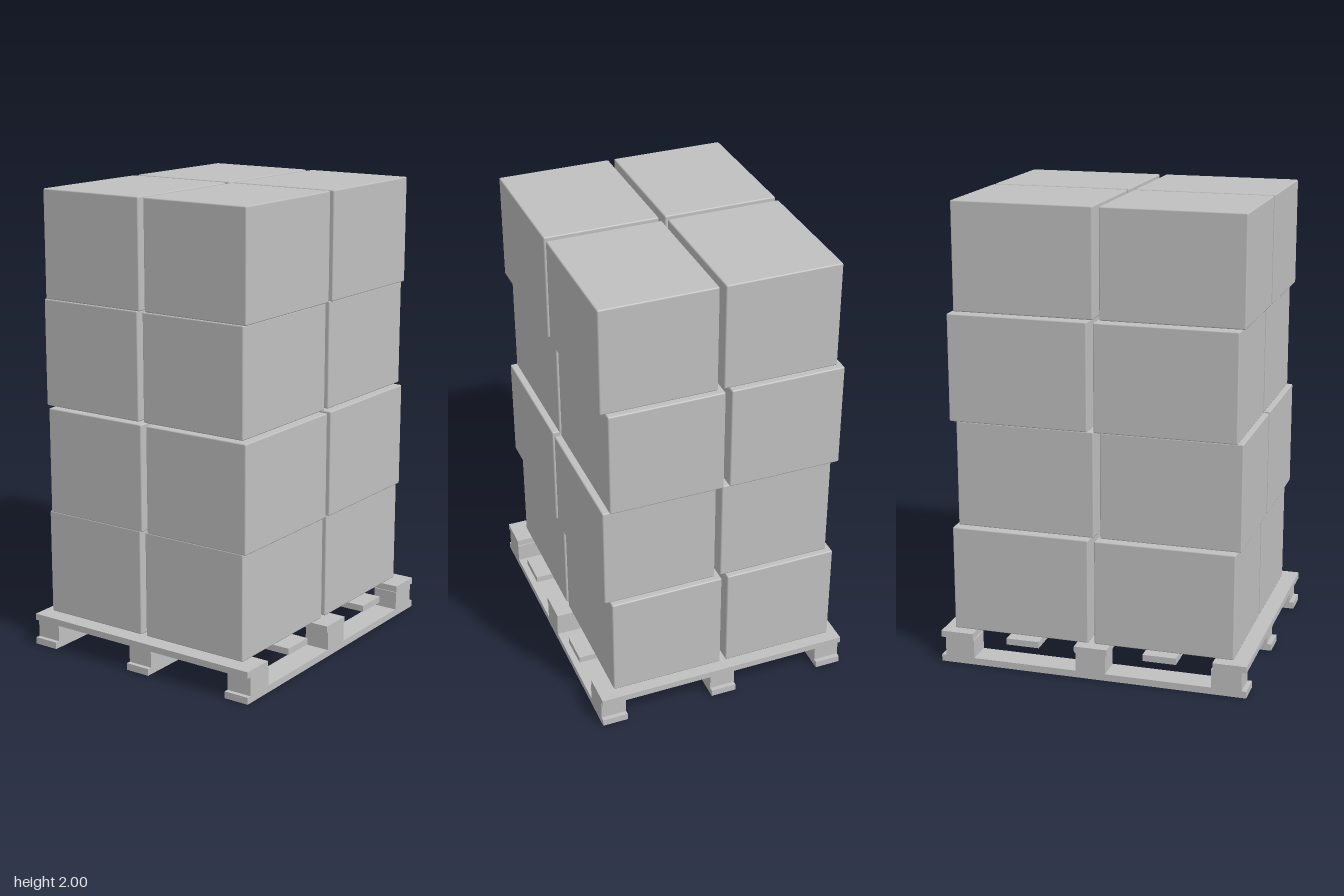
import * as THREE from 'three';
import { RoundedBoxGeometry } from 'three/addons/geometries/RoundedBoxGeometry.js';

export function createModel() {
  const model = new THREE.Group();
  model.name = 'loadedPallet';
  const grey = new THREE.MeshStandardMaterial({ color: 0xc0c0c0 });
  grey.name = 'plain grey';

  const pallet = new THREE.Group();
  pallet.name = 'pallet';
  const cartons = new THREE.Group();
  cartons.name = 'cartons';
  model.add(pallet, cartons);

  function add(parent, name, geometry, x, y, z) {
    const mesh = new THREE.Mesh(geometry, grey);
    mesh.name = name;
    mesh.position.set(x, y, z);
    parent.add(mesh);
  }

  // Deck boards running front to back
  const deck = new THREE.BoxGeometry(0.145, 0.028, 1.126);
  for (const x of [-0.6025, -0.302, 0, 0.302, 0.6025]) {
    add(pallet, 'deckBoard', deck, x, 0.126, 0);
  }

  // Three runners, each carrying three blocks
  const runner = new THREE.BoxGeometry(1.35, 0.03, 0.113);
  const block = new THREE.BoxGeometry(0.13, 0.082, 0.113);
  for (const z of [-0.5065, 0, 0.5065]) {
    add(pallet, 'runner', runner, 0, 0.015, z);
    for (const x of [-0.59, 0, 0.59]) add(pallet, 'block', block, x, 0.071, z);
  }

  // Four layers of four cartons, alternately shifted
  const carton = new RoundedBoxGeometry(0.605, 0.461, 0.494, 1, 0.006);
  for (let layer = 0; layer < 4; layer++) {
    const shift = layer % 2 ? -0.011 : 0.008;
    const shiftZ = layer % 2 ? 0.012 : -0.014;
    for (const sx of [-1, 1]) {
      for (const sz of [-1, 1]) {
        add(cartons, 'carton', carton,
          sx * 0.316 + shift, 0.3735 + layer * 0.4653, sz * 0.26 + shiftZ);
      }
    }
  }
  return model;
}
